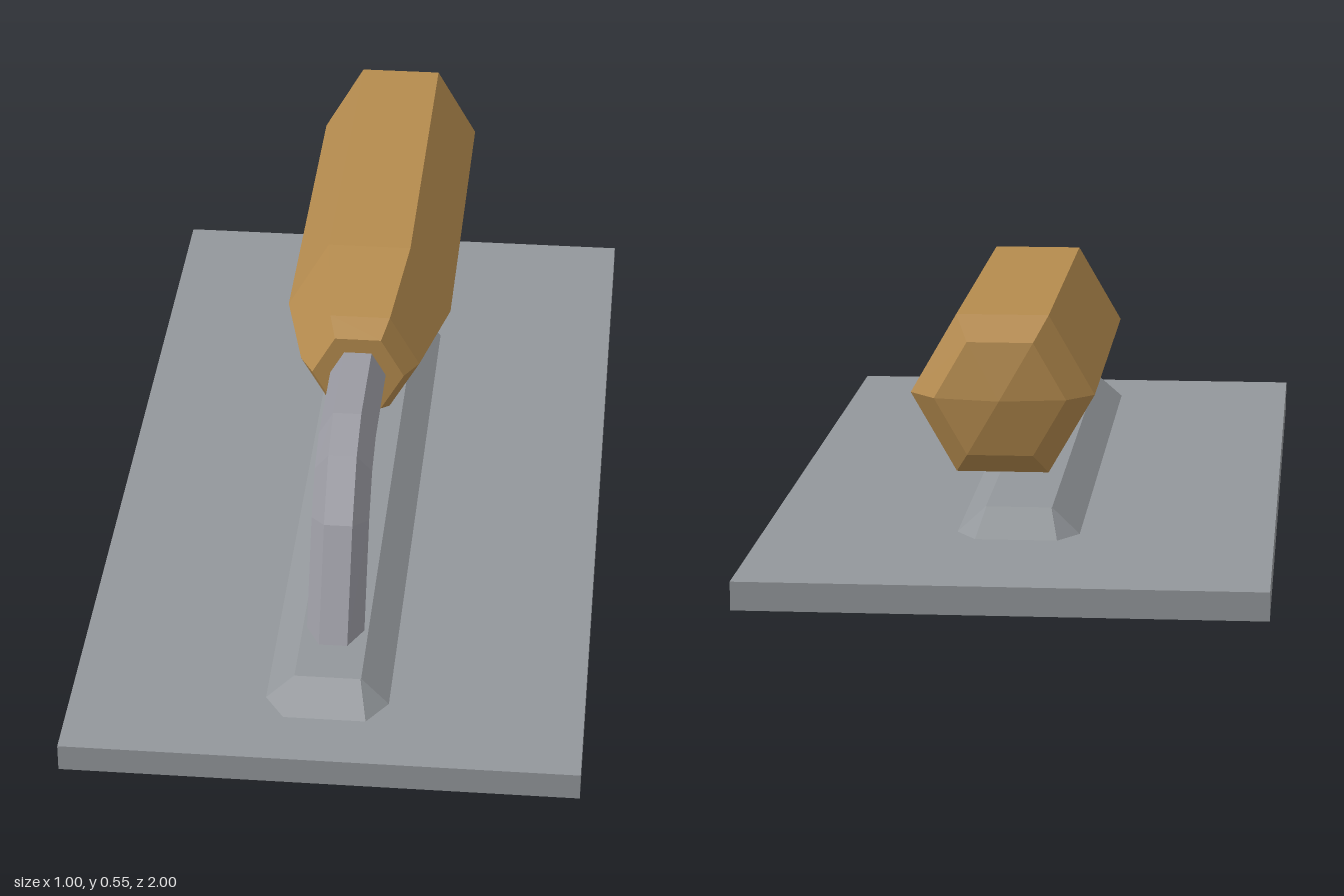
import * as THREE from 'three';

// Skin a list of rings (counter-clockwise seen from the last ring) and cap both ends.
function loft(rings) {
  const pos = [];
  const tri = (a, b, c) => pos.push(...a, ...b, ...c);
  const n = rings[0].length;
  for (let r = 0; r < rings.length - 1; r++) {
    const a = rings[r], b = rings[r + 1];
    for (let i = 0; i < n; i++) {
      const j = (i + 1) % n;
      tri(a[i], a[j], b[j]);
      tri(a[i], b[j], b[i]);
    }
  }
  const first = rings[0], last = rings[rings.length - 1];
  for (let i = 1; i < n - 1; i++) {
    tri(first[0], first[i + 1], first[i]);
    tri(last[0], last[i], last[i + 1]);
  }
  const g = new THREE.BufferGeometry();
  g.setAttribute('position', new THREE.Float32BufferAttribute(pos, 3));
  g.computeVertexNormals();
  return g;
}

function material(name, color) {
  const m = new THREE.MeshStandardMaterial({ color, flatShading: true });
  m.name = name;
  return m;
}

export function createModel() {
  const model = new THREE.Group();
  model.name = 'trowel';
  const steel = material('steel', 0x93979b);
  const shankSteel = material('shankSteel', 0x9a9aa2);
  const wood = material('wood', 0xb58b4e);

  const add = (name, geometry, mat) => {
    const mesh = new THREE.Mesh(geometry, mat);
    mesh.name = name;
    model.add(mesh);
  };

  // Flat blade
  const blade = new THREE.BoxGeometry(1, 0.055, 2);
  blade.translate(0, 0.0275, 0);
  add('blade', blade, steel);

  // Raised mounting rib: chamfered footprint sloping up to a rectangular top
  const ribRing = (y, side, end, zSide, zEnd) => [
    [side, y, zSide], [side, y, -zSide], [end, y, -zEnd], [-end, y, -zEnd],
    [-side, y, -zSide], [-side, y, zSide], [-end, y, zEnd], [end, y, zEnd],
  ];
  const rib = loft([
    ribRing(0.055, 0.12, 0.08, 0.69, 0.75),
    ribRing(0.105, 0.065, 0.064, 0.68, 0.682),
  ]);
  rib.translate(0, 0, 0.12);
  add('mountingRib', rib, steel);

  // Bent hexagonal shank: [z, y] of the outer, middle and inner edges
  const bends = [
    [[0.697, 0.104], [0.642, 0.104], [0.587, 0.104]],
    [[0.583, 0.312], [0.538, 0.298], [0.493, 0.28]],
    [[0.49, 0.414], [0.472, 0.37], [0.455, 0.322]],
    [[0.39, 0.45], [0.39, 0.4], [0.39, 0.352]],
    [[0.14, 0.45], [0.14, 0.4], [0.14, 0.352]],
  ];
  const shank = loft(bends.map(([o, m, i]) => [
    [-0.057, m[1], m[0]], [-0.028, o[1], o[0]], [0.028, o[1], o[0]],
    [0.057, m[1], m[0]], [0.028, i[1], i[0]], [-0.028, i[1], i[0]],
  ]));
  add('shank', shank, shankSteel);

  // Hexagonal grip, turned from a [radius, z] profile
  const profile = [
    [0, -0.983], [0.122, -0.96], [0.171, -0.905], [0.171, -0.105],
    [0.122, 0.11], [0.094, 0.16], [0, 0.16],
  ].map(([r, z]) => new THREE.Vector2(r, z));
  const grip = new THREE.LatheGeometry(profile, 6, Math.PI / 2).toNonIndexed();
  grip.computeVertexNormals();
  grip.rotateX(Math.PI / 2);
  grip.translate(0, 0.4, 0);
  add('grip', grip, wood);

  return model;
}
